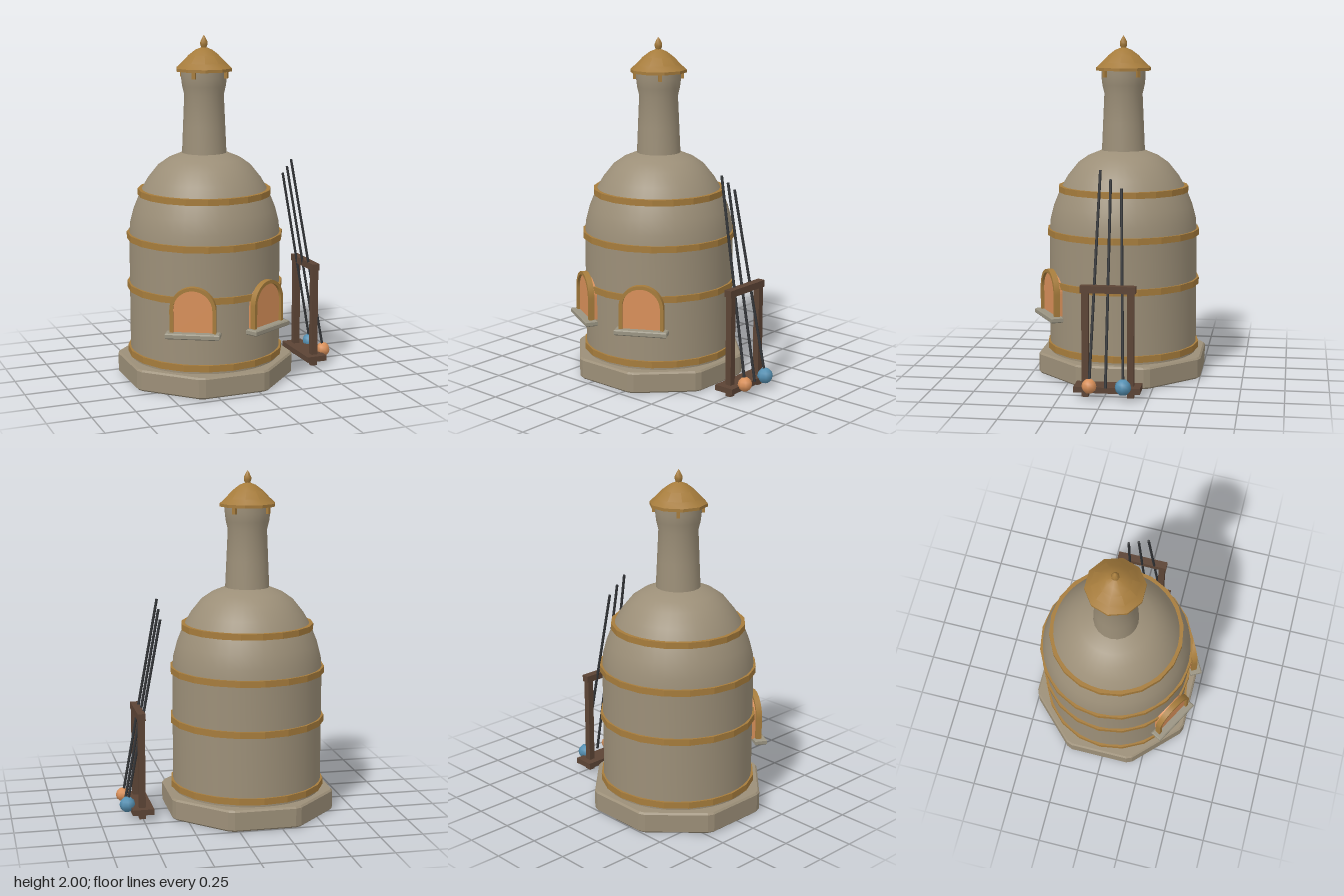
import * as THREE from 'three';
import { toCreasedNormals } from 'three/addons/utils/BufferGeometryUtils.js';

const mat = (name, color) => {
  const m = new THREE.MeshStandardMaterial({ color });
  m.name = name;
  return m;
};

export function createModel() {
  const stone = mat('stone', 0x9c8f78);
  const paleStone = mat('pale stone', 0x9a9482);
  const brass = mat('brass', 0xa67c3c);
  const wood = mat('dark wood', 0x5c4435);
  const iron = mat('iron', 0x323437);
  const amber = mat('amber glass', 0xd9905a);
  const blue = mat('blue glass', 0x5590b2);

  const model = new THREE.Group();
  model.name = 'furnaceWithTools';
  const furnace = new THREE.Group();
  furnace.name = 'furnace';
  furnace.position.set(-0.15, 0, -0.02);
  const rack = new THREE.Group();
  rack.name = 'toolRack';
  rack.position.set(0.503, 0, -0.02);
  model.add(furnace, rack);

  const add = (parent, name, geo, material, x = 0, y = 0, z = 0) => {
    const mesh = new THREE.Mesh(geo, material);
    mesh.name = name;
    mesh.position.set(x, y, z);
    parent.add(mesh);
    return mesh;
  };
  const lathe = (pts, segs, crease) => {
    const g = new THREE.LatheGeometry(pts.map(([r, y]) => new THREE.Vector2(r, y)), segs);
    g.rotateY(Math.PI / 2);
    return toCreasedNormals(g, crease);
  };

  // Octagonal plinth with clipped corners and a small bevel
  const bevel = 0.01;
  const corners = [];
  const radius = (0.483 - bevel) / Math.cos(Math.PI / 8);
  for (let i = 0; i < 8; i++) {
    for (const d of [-0.035, 0.035]) {
      const a = Math.PI / 8 + i * Math.PI / 4 + d;
      const r = radius * Math.cos(Math.PI / 8) / Math.cos(Math.PI / 8 - Math.abs(d));
      corners.push(new THREE.Vector2(Math.cos(a) * r, Math.sin(a) * r));
    }
  }
  const plinth = new THREE.ExtrudeGeometry(new THREE.Shape(corners), {
    depth: 0.125 - 2 * bevel, bevelSize: bevel, bevelThickness: bevel, bevelSegments: 1,
  });
  plinth.rotateX(-Math.PI / 2);
  add(furnace, 'plinth', plinth, stone, 0, bevel, 0);

  // Drum, dome and chimney
  add(furnace, 'drum', lathe([[0.44, 0.12], [0.44, 0.85]], 40, 0.6), stone);
  add(furnace, 'dome', lathe([
    [0.44, 0.85], [0.434, 0.92], [0.413, 1.0], [0.373, 1.1], [0.33, 1.175],
    [0.27, 1.25], [0.21, 1.292], [0.13, 1.325], [0, 1.335],
  ], 40, 0.6), stone);
  add(furnace, 'chimney', lathe([
    [0.13, 1.3], [0.122, 1.48], [0.114, 1.66], [0.126, 1.71], [0.132, 1.76], [0.132, 1.8], [0, 1.8],
  ], 20, 0.7), stone);

  // Metal hoops: radius, bottom, top
  for (const [r, y0, y1] of [[0.455, 0.14, 0.178], [0.455, 0.53, 0.568], [0.455, 0.825, 0.862], [0.388, 1.08, 1.116]]) {
    const i = r - 0.03;
    add(furnace, 'hoop', lathe([[i, y0], [r, y0], [r, y1], [i, y1], [i, y0]], 20, 0.2), brass);
  }

  // Chimney cap, its brackets and finial
  add(furnace, 'chimneyCap', lathe([
    [0, 1.795], [0.165, 1.795], [0.165, 1.812], [0.132, 1.842], [0.09, 1.885], [0.05, 1.915], [0, 1.935],
  ], 10, 0.45), brass);
  for (let i = 0; i < 4; i++) {
    const a = Math.PI / 4 + i * Math.PI / 2;
    const b = add(furnace, 'capBracket', new THREE.BoxGeometry(0.02, 0.045, 0.02), brass,
      Math.sin(a) * 0.138, 1.78, Math.cos(a) * 0.138);
    b.rotation.y = a;
  }
  add(furnace, 'finial', lathe([
    [0.014, 1.925], [0.022, 1.945], [0.022, 1.96], [0.01, 1.985], [0, 2.0],
  ], 8, 1), brass);

  // Arched furnace windows
  const arch = (Type, w) => {
    const s = new Type();
    s.moveTo(-w, 0);
    s.lineTo(w, 0);
    s.lineTo(w, 0.135);
    s.absarc(0, 0.135, w, 0, Math.PI, false);
    s.lineTo(-w, 0);
    return s;
  };
  for (const side of [-1, 1]) {
    const win = new THREE.Group();
    win.name = side > 0 ? 'leftWindow' : 'rightWindow';
    win.rotation.y = side * 0.505;
    const frame = arch(THREE.Shape, 0.131);
    const hole = arch(THREE.Path, 0.111);
    frame.holes.push(hole);
    const opts = { bevelEnabled: false, curveSegments: 14 };
    add(win, 'windowFrame', toCreasedNormals(new THREE.ExtrudeGeometry(frame, { ...opts, depth: 0.034 }), 0.5),
      brass, 0, 0.37, 0.447);
    add(win, 'windowGlow', new THREE.ExtrudeGeometry(arch(THREE.Shape, 0.113), { ...opts, depth: 0.04 }),
      amber, 0, 0.37, 0.425);
    // Sill with softly chamfered edges
    const sill = new THREE.Shape();
    sill.moveTo(-0.149, -0.031);
    sill.lineTo(0.149, -0.031);
    sill.lineTo(0.149, 0.031);
    sill.lineTo(-0.149, 0.031);
    const sg = new THREE.ExtrudeGeometry(sill, {
      depth: 0.02, bevelSize: 0.006, bevelThickness: 0.006, bevelSegments: 1,
    });
    sg.rotateX(-Math.PI / 2);
    add(win, 'windowSill', sg, paleStone, 0, 0.349, 0.472);
    furnace.add(win);
  }

  // Wooden rack
  add(rack, 'rackShelf', new THREE.BoxGeometry(0.125, 0.033, 0.373), wood, 0, 0.052, 0);
  add(rack, 'rackBar', new THREE.BoxGeometry(0.046, 0.04, 0.312), wood, 0, 0.612, 0);
  for (const s of [-1, 1]) {
    add(rack, 'rackPost', new THREE.BoxGeometry(0.038, 0.6, 0.038), wood, 0, 0.3, s * 0.128);
  }

  // Leaning blowpipes: bottom point, top point, glass gather
  const tools = [
    [[0.585, 0.08, 0.075], [0.375, 1.26, 0.04], amber, 0.042],
    [[0.585, 0.07, -0.017], [0.375, 1.21, -0.018], null, 0],
    [[0.585, 0.08, -0.115], [0.375, 1.16, -0.078], blue, 0.046],
  ];
  for (const [p, q, glass, r] of tools) {
    const a = new THREE.Vector3(...p);
    const b = new THREE.Vector3(...q);
    const dir = b.clone().sub(a);
    const pipe = add(model, 'blowpipe', new THREE.CylinderGeometry(0.008, 0.008, dir.length(), 8), iron);
    pipe.position.copy(a).add(b).multiplyScalar(0.5);
    pipe.quaternion.setFromUnitVectors(new THREE.Vector3(0, 1, 0), dir.normalize());
    if (glass) add(model, 'glassGather', new THREE.SphereGeometry(r, 8, 6), glass, ...p);
  }
  return model;
}
